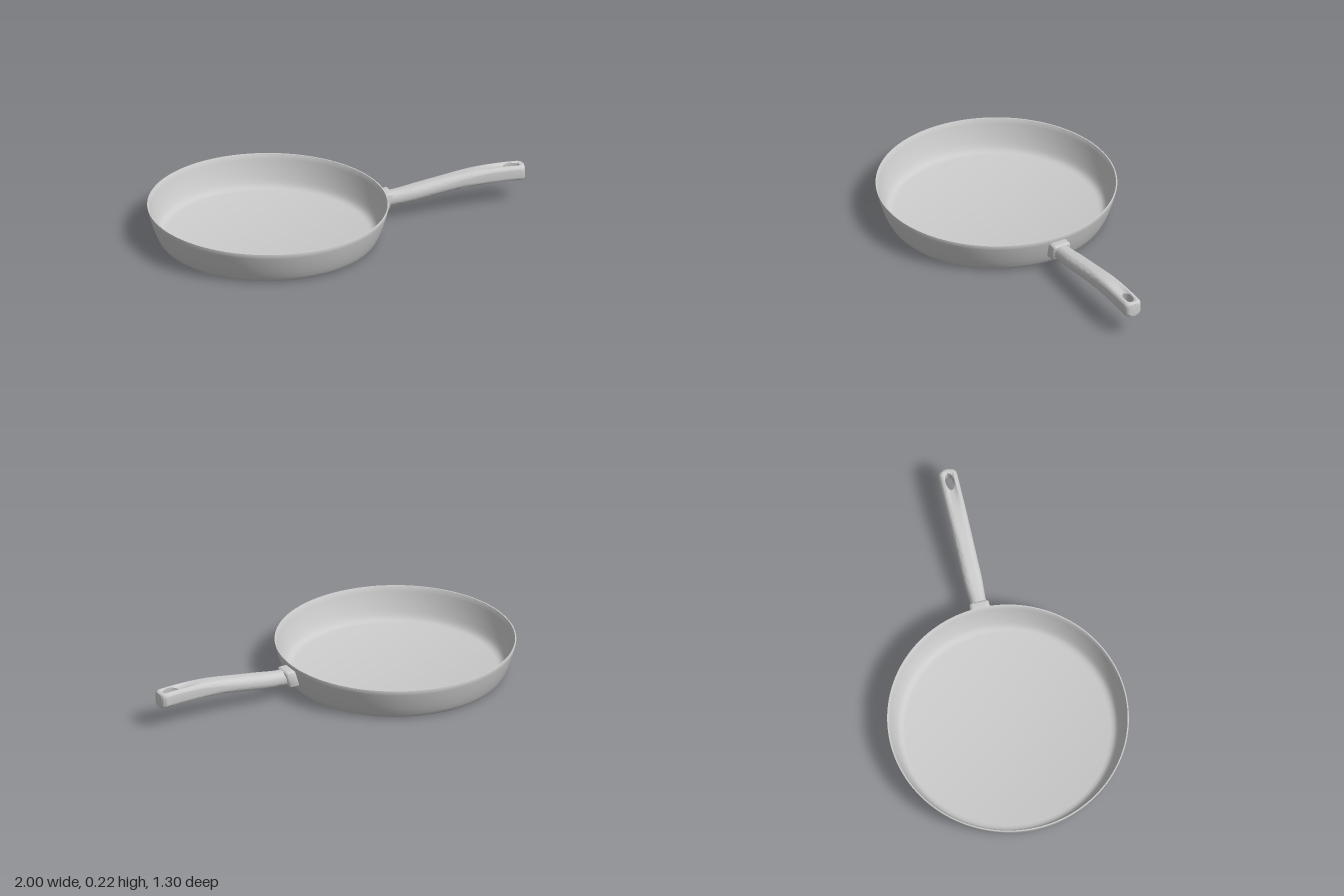
import * as THREE from 'three';
import { toCreasedNormals, mergeGeometries } from 'three/addons/utils/BufferGeometryUtils.js';
import { RoundedBoxGeometry } from 'three/addons/geometries/RoundedBoxGeometry.js';

const material = new THREE.MeshStandardMaterial({ color: 0xcccccc });
const v2 = (p) => new THREE.Vector2(p[0], p[1]);
const smooth = THREE.MathUtils.smoothstep;

// Handle range along its length (distance from the pan's centre) and its hanging hole
const START = 0.67, END = 1.453, HOLE = 1.38, HOLE_LENGTH = 0.048, HOLE_WIDTH = 0.024;

// Middle height of the handle along its length
const spine = new THREE.SplineCurve([
  [0.67, 0.119], [0.76, 0.125], [0.92, 0.146], [1.08, 0.166],
  [1.2, 0.174], [1.34, 0.173], [1.453, 0.167],
].map(v2));

// Half cross-section, from the inner edge under the handle, round the side, to the inner edge on top
function halfSection(u, y) {
  const k = (u - HOLE) / HOLE_LENGTH;
  const inner = HOLE_WIDTH * Math.sqrt(Math.max(0, 1 - k * k));
  const corner = Math.max(0, (u - (END - 0.03)) / 0.03);
  const body = 0.043 + 0.007 * smooth(u, 0.7, 0.85);
  const outer = body - 0.03 * (1 - Math.sqrt(Math.max(0, 1 - corner * corner)));
  const half = 0.042 - 0.004 * corner ** 4;
  const r = Math.min(0.037 - 0.015 * smooth(u, 0.95, 1.3), outer - inner - 0.002);
  // Hollows run into the hole from above and below
  const fade = 1 - smooth(u, 1.405, 1.44);
  const dipTop = 0.014 * smooth(u, 1.2, 1.36) * fade;
  const dipBottom = 0.035 * smooth(u, 1.1, 1.35) * fade;
  const edge = outer - r;
  const pts = [];
  const flat = (t, s, dip) => {
    const v = inner + (edge - inner) * t;
    pts.push([v, y + s * (half - dip * (1 - (v / edge) ** 2))]);
  };
  for (const t of [0, 0.25, 0.5, 0.75]) flat(t, -1, dipBottom);
  for (const s of [-1, 1]) {
    for (let i = 0; i <= 6; i++) {
      const a = s < 0 ? -Math.PI / 2 + (i * Math.PI) / 12 : (i * Math.PI) / 12;
      pts.push([edge + r * Math.cos(a), y + s * (half - r) + r * Math.sin(a)]);
    }
  }
  for (const t of [0.75, 0.5, 0.25, 0]) flat(t, 1, dipTop);
  return pts;
}

// One lengthwise half of the handle; side is +1 or -1 in z
function handleHalf(side) {
  const rings = 100, pos = [], index = [];
  let n = 0;
  const tri = (a, b, c) => (side > 0 ? index.push(a, c, b) : index.push(a, b, c));
  for (let i = 0; i <= rings; i++) {
    const u = START + (END - START) * (1 - (1 - i / rings) ** 1.7);
    // Height of the spine at this length
    let lo = 0, hi = 1;
    for (let j = 0; j < 24; j++) {
      const m = (lo + hi) / 2;
      if (spine.getPoint(m).x < u) lo = m; else hi = m;
    }
    const pts = halfSection(u, spine.getPoint(lo).y);
    n = pts.length;
    for (const [v, y] of pts) pos.push(u, y, side * v);
  }
  for (let i = 0; i < rings; i++) {
    for (let j = 0; j < n; j++) {
      const a = i * n + j, b = i * n + ((j + 1) % n);
      tri(a, b, a + n);
      tri(b, b + n, a + n);
    }
  }
  // End caps
  const last = rings * n;
  for (let j = 1; j < n - 1; j++) {
    tri(0, j + 1, j);
    tri(last, last + j, last + j + 1);
  }
  const g = new THREE.BufferGeometry();
  g.setAttribute('position', new THREE.Float32BufferAttribute(pos, 3));
  g.setIndex(index);
  return g;
}

function add(parent, name, geometry) {
  const mesh = new THREE.Mesh(geometry, material);
  mesh.name = name;
  parent.add(mesh);
  return mesh;
}

export function createModel() {
  const model = new THREE.Group();
  model.name = 'fryingPan';
  model.position.x = -0.35;

  // Pan body: underside, flared outer wall, thin rim, inner wall and floor
  const profile = [
    [0, 0], [0.565, 0], [0.578, 0.004], [0.588, 0.014], [0.598, 0.032], [0.61, 0.06],
    [0.622, 0.092], [0.634, 0.13], [0.643, 0.162], [0.649, 0.187], [0.648, 0.19],
    [0.642, 0.19], [0.64, 0.187], [0.633, 0.16], [0.624, 0.128], [0.612, 0.092],
    [0.6, 0.062], [0.59, 0.041], [0.58, 0.027], [0.567, 0.018], [0.55, 0.014], [0, 0.014],
  ].map(v2);
  add(model, 'panBody', toCreasedNormals(new THREE.LatheGeometry(profile, 128), 0.6));

  // Handle assembly points outward from the pan
  const arm = new THREE.Group();
  arm.name = 'handleAssembly';
  arm.rotation.y = THREE.MathUtils.degToRad(22.6);
  model.add(arm);

  add(arm, 'handle', toCreasedNormals(mergeGeometries([handleHalf(1), handleHalf(-1)]), 0.7));

  // Bracket leaning with the slope of the wall
  const bracket = new RoundedBoxGeometry(0.066, 0.096, 0.108, 4, 0.016);
  bracket.applyMatrix4(new THREE.Matrix4().makeShear(0, 0, 0.25, 0, 0, 0));
  add(arm, 'handleBracket', toCreasedNormals(bracket, 0.7)).position.set(0.655, 0.118, 0);

  return model;
}
